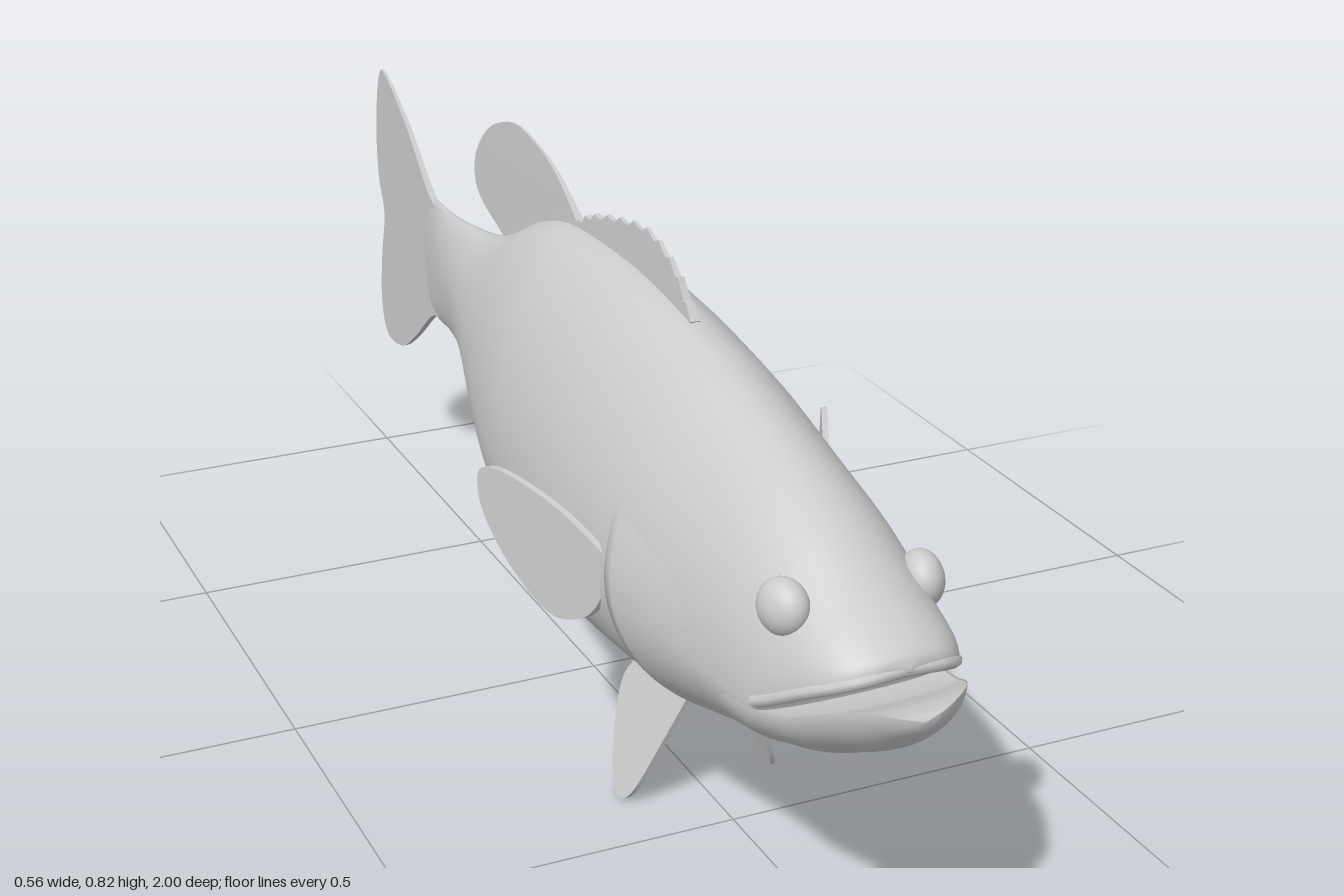
import * as THREE from 'three';
import { mergeVertices } from 'three/addons/utils/BufferGeometryUtils.js';

const material = new THREE.MeshStandardMaterial({ color: 0xcccccc, side: THREE.DoubleSide });

// Cross-sections from tail to nose: [z, top, widest height, bottom, half width]
const BODY = [
  [-0.76, 0.55, 0.47, 0.385, 0.002], [-0.7, 0.578, 0.47, 0.36, 0.012],
  [-0.6, 0.578, 0.47, 0.36, 0.03], [-0.5, 0.588, 0.465, 0.345, 0.048],
  [-0.4, 0.605, 0.455, 0.31, 0.072], [-0.3, 0.64, 0.445, 0.255, 0.1],
  [-0.2, 0.69, 0.43, 0.215, 0.127], [-0.1, 0.722, 0.415, 0.19, 0.15],
  [0, 0.733, 0.405, 0.175, 0.166], [0.2, 0.732, 0.39, 0.175, 0.18],
  [0.4, 0.705, 0.385, 0.195, 0.18], [0.5, 0.682, 0.385, 0.212, 0.175],
  [0.6, 0.655, 0.385, 0.235, 0.165], [0.7, 0.622, 0.383, 0.262, 0.153],
  [0.78, 0.587, 0.38, 0.29, 0.142], [0.8, 0.576, 0.382, 0.298, 0.139],
  [0.82, 0.565, 0.39, 0.385, 0.134], [0.87, 0.537, 0.42, 0.425, 0.119],
  [0.9, 0.522, 0.438, 0.445, 0.106], [0.93, 0.505, 0.455, 0.46, 0.084],
  [0.95, 0.492, 0.468, 0.47, 0.05], [0.958, 0.478, 0.474, 0.472, 0],
];
const JAW = [
  [0.7, 0.36, 0.37, 0.268, 0.148], [0.78, 0.365, 0.373, 0.286, 0.143],
  [0.82, 0.368, 0.378, 0.302, 0.136], [0.87, 0.38, 0.393, 0.318, 0.125],
  [0.9, 0.396, 0.408, 0.334, 0.115], [0.95, 0.422, 0.432, 0.363, 0.088],
  [0.98, 0.43, 0.437, 0.392, 0.057], [0.995, 0.43, 0.432, 0.41, 0.027],
  [1, 0.425, 0.425, 0.425, 0],
];

// Smooth cross-section at any z
function sectionAt(rows, z) {
  let i = 0;
  while (i < rows.length - 2 && z > rows[i + 1][0]) i++;
  const a = rows[i], b = rows[i + 1];
  const p = rows[Math.max(i - 1, 0)], n = rows[Math.min(i + 2, rows.length - 1)];
  const h = b[0] - a[0], t = (z - a[0]) / h, t2 = t * t, t3 = t2 * t;
  return [1, 2, 3, 4].map((k) => {
    const m0 = (b[k] - p[k]) / (b[0] - p[0]), m1 = (n[k] - a[k]) / (n[0] - a[0]);
    return (2 * t3 - 3 * t2 + 1) * a[k] + (t3 - 2 * t2 + t) * h * m0
      + (3 * t2 - 2 * t3) * b[k] + (t3 - t2) * h * m1;
  });
}

// Point on the skin; angle 0 is the back, PI the belly
function skin(rows, z, angle, offset = 0) {
  const [top, mid, bottom, width] = sectionAt(rows, z);
  const c = Math.cos(angle), grow = 1 + offset / 0.16;
  const pinch = 0.2 * (1 - THREE.MathUtils.smoothstep(z, 0.55, 0.82));
  const x = Math.max(width, 0) * Math.sin(angle) * (1 - pinch * Math.max(c, 0) ** 2);
  return [x * grow, mid + (c > 0 ? top - mid : mid - bottom) * c * grow, z];
}

function grid(nu, nv, point) {
  const position = [], index = [];
  for (let i = 0; i <= nu; i++) {
    for (let j = 0; j <= nv; j++) {
      position.push(...point(i, j));
      if (i === nu || j === nv) continue;
      const a = i * (nv + 1) + j, b = a + nv + 1;
      index.push(a, b, a + 1, b, b + 1, a + 1);
    }
  }
  const g = new THREE.BufferGeometry();
  g.setAttribute('position', new THREE.Float32BufferAttribute(position, 3));
  g.setIndex(index);
  const merged = mergeVertices(g, 1e-5);
  merged.computeVertexNormals();
  return merged;
}

function loft(rows) {
  const steps = 4, around = 48;
  return grid((rows.length - 1) * steps, around, (i, j) => {
    const k = Math.min(Math.floor(i / steps), rows.length - 2);
    const z = THREE.MathUtils.lerp(rows[k][0], rows[k + 1][0], i / steps - k);
    return skin(rows, z, (j / around) * Math.PI * 2);
  });
}

const toVectors = (pts) => pts.map(([z, y]) => new THREE.Vector2(z, y));

// Thin fin from a (z, y) outline; thickness and sideways lean follow rules
function fin(outline, halfThickness, lean = () => 0) {
  const g = new THREE.ExtrudeGeometry(new THREE.Shape(outline), { depth: 2, bevelEnabled: false });
  g.translate(0, 0, -1).rotateY(-Math.PI / 2);
  const p = g.attributes.position;
  for (let i = 0; i < p.count; i++) {
    const y = p.getY(i), z = p.getZ(i);
    p.setX(i, p.getX(i) * halfThickness(y, z) + lean(y, z));
  }
  g.computeVertexNormals();
  return g;
}

const smooth = (pts, n = 60) => new THREE.SplineCurve(toVectors(pts)).getPoints(n);

export function createModel() {
  const fish = new THREE.Group();
  fish.name = 'fish';
  const add = (name, geometry) => {
    const mesh = new THREE.Mesh(geometry, material);
    mesh.name = name;
    fish.add(mesh);
    return mesh;
  };

  add('body', loft(BODY));
  add('lowerJaw', loft(JAW));

  // Upper lip follows the mouth line round the snout
  const half = [0.81, 0.84, 0.87, 0.9, 0.93, 0.948].map((z) => {
    const [, mid, , w] = sectionAt(BODY, z);
    return new THREE.Vector3(w - 0.004, mid, z - 0.003);
  });
  const otherHalf = half.map((v) => new THREE.Vector3(-v.x, v.y, v.z)).reverse();
  const lipPath = new THREE.CatmullRomCurve3([...half, new THREE.Vector3(0, 0.472, 0.949), ...otherHalf]);
  add('upperLip', new THREE.TubeGeometry(lipPath, 60, 0.009, 8));

  // Spiny dorsal fin with a scalloped top
  const spines = smooth([[0.35, 0.715], [0.29, 0.772], [0.2, 0.802], [0.09, 0.787], [-0.01, 0.76], [-0.06, 0.73]], 36);
  spines.forEach((v, i) => { if (i > 2 && i < 34) v.y -= [0, 0.009, 0.006][i % 3]; });
  const dorsalThickness = (y) => THREE.MathUtils.mapLinear(y, 0.72, 0.82, 0.007, 0.0015);
  add('spinyDorsalFin', fin([...spines, ...toVectors([[-0.06, 0.69], [0.15, 0.69], [0.33, 0.69]])], dorsalThickness));

  // Soft dorsal, anal and tail fins
  add('softDorsalFin', fin([
    ...smooth([[-0.04, 0.73], [-0.14, 0.787], [-0.24, 0.814], [-0.32, 0.817], [-0.41, 0.787], [-0.465, 0.735],
      [-0.475, 0.685], [-0.445, 0.653], [-0.35, 0.62]]),
    ...toVectors([[-0.33, 0.6], [-0.2, 0.66], [-0.06, 0.7]]),
  ], (y) => THREE.MathUtils.clamp(dorsalThickness(y), 0.0015, 0.007)));
  add('analFin', fin([
    ...smooth([[-0.15, 0.2], [-0.26, 0.163], [-0.38, 0.147], [-0.46, 0.18], [-0.497, 0.24], [-0.485, 0.288], [-0.4, 0.308]]),
    ...toVectors([[-0.38, 0.34], [-0.28, 0.28], [-0.17, 0.23]]),
  ], (y) => THREE.MathUtils.mapLinear(y, 0.14, 0.34, 0.002, 0.007)));
  add('tailFin', fin([
    ...smooth([[-0.64, 0.572], [-0.705, 0.582], [-0.82, 0.675], [-0.93, 0.74], [-0.968, 0.73], [-0.992, 0.64],
      [-0.99, 0.54], [-0.963, 0.47], [-0.985, 0.38], [-0.995, 0.29], [-0.965, 0.232], [-0.88, 0.237],
      [-0.8, 0.285], [-0.705, 0.357], [-0.64, 0.368]], 90),
  ], (y, z) => THREE.MathUtils.mapLinear(z, -1, -0.64, 0.0015, 0.007)));

  // Paired parts
  const pectoral = smooth([[0.45, 0.42], [0.425, 0.35], [0.395, 0.317], [0.345, 0.308], [0.28, 0.36], [0.235, 0.43],
    [0.228, 0.485], [0.25, 0.502], [0.3, 0.495], [0.37, 0.47], [0.45, 0.42]]);
  const pelvic = smooth([[0.455, 0.21], [0.43, 0.11], [0.403, 0.02], [0.37, 0.003], [0.328, 0.05], [0.295, 0.13],
    [0.302, 0.175], [0.34, 0.21], [0.4, 0.225], [0.455, 0.21]]);
  for (const [label, s] of [['left', 1], ['right', -1]]) {
    add(`${label}PectoralFin`, fin(pectoral, () => 0.005, (y, z) => s * (0.168 + 0.5 * (0.44 - z))));
    add(`${label}PelvicFin`, fin(pelvic, () => 0.004, (y, z) => s * (0.05 + 0.36 * (0.195 - y) + 0.1 * (0.4 - z))));

    const eye = add(`${label}Eye`, new THREE.SphereGeometry(0.04, 28, 20));
    eye.scale.set(0.72, 0.95, 1);
    eye.position.set(s * 0.099, 0.514, 0.812);
    eye.rotation.set(0, -s * 0.25, s * 0.12);

    // Gill cover: a slightly raised plate with a curved rear edge
    const from = 1.1, to = 2.95, nu = 16, nv = 30;
    add(`${label}GillCover`, grid(nu, nv, (i, j) => {
      const k = s > 0 ? j / nv : 1 - j / nv;
      const u = Math.max(0, (i - 1) / (nu - 1));
      const z = THREE.MathUtils.lerp(0.44 + 0.17 * k ** 1.5, 0.72, u);
      const lift = Math.min(1, 5 * k, 5 * (1 - k));
      const offset = i === 0 ? -0.006 : 0.009 * lift * (1 - u) - 0.002;
      return skin(BODY, z, s * (from + (to - from) * k), offset);
    }));
  }
  return fish;
}
